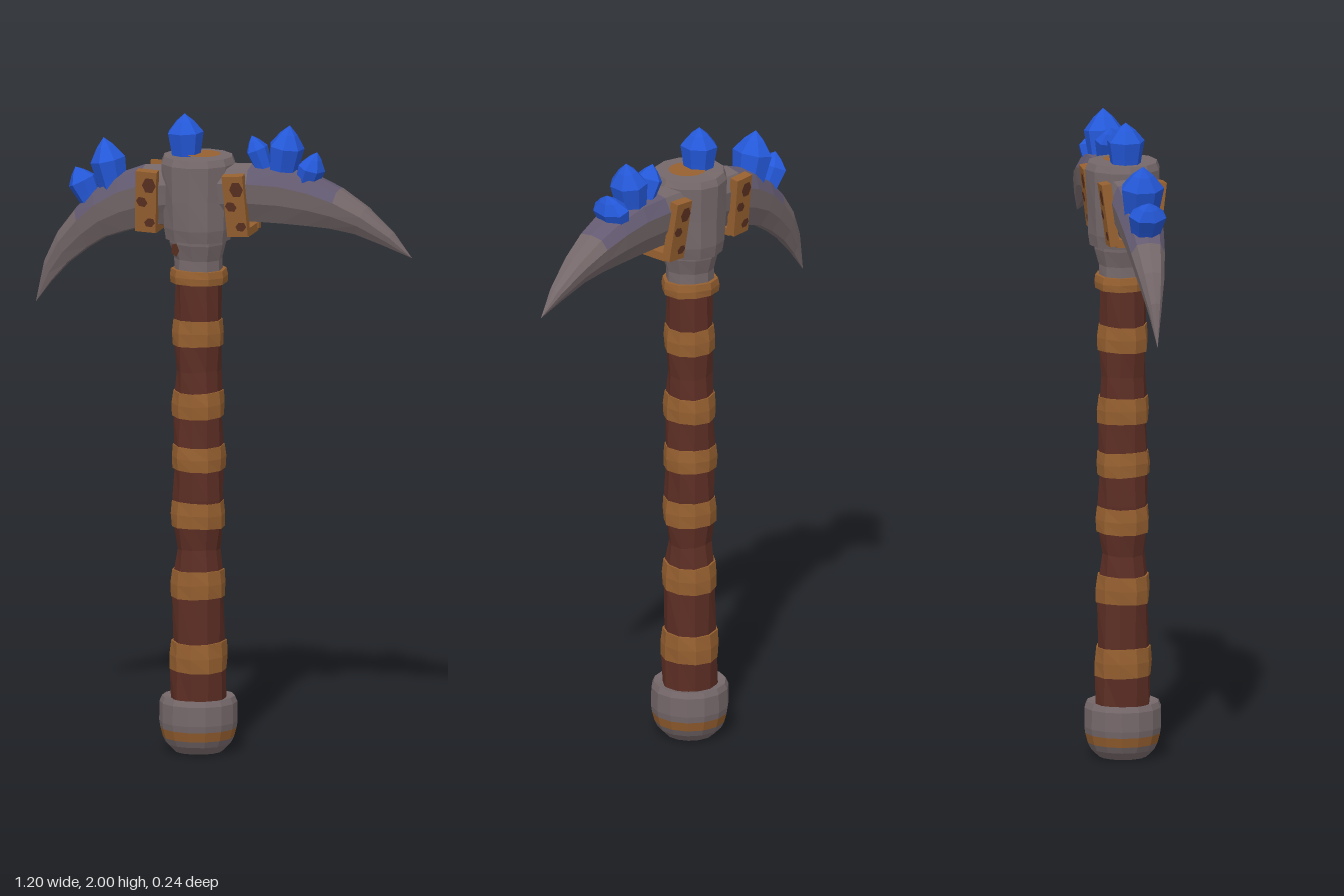
import * as THREE from 'three';

const mat = (name, color, extra = {}) => {
  const m = new THREE.MeshStandardMaterial({ color, flatShading: true, ...extra });
  m.name = name;
  return m;
};

export function createModel() {
  const stone = mat('stone grey', 0x75686a);
  const tint = mat('crystal tinted stone', 0x645b72);
  const wood = mat('dark wood', 0x5c2e24);
  const leather = mat('tan leather', 0x966030);
  const rust = mat('rust brown', 0x5a3020, { side: THREE.DoubleSide });
  const gem = mat('blue crystal', 0x2458d8);
  const AX = -0.082; // shaft axis

  const model = new THREE.Group();
  model.name = 'pickaxe';
  const add = (parent, name, geo, material, x = 0, y = 0, z = 0) => {
    const m = new THREE.Mesh(geo, material);
    m.name = name;
    m.position.set(x, y, z);
    parent.add(m);
    return m;
  };

  // Faceted turned part; profile is [radius, y] from bottom to top, wobble makes it hand-carved
  const turned = (name, profile, sides, material, wobble = 0, x = AX) => {
    const geo = new THREE.LatheGeometry(profile.map(([r, y]) => new THREE.Vector2(r, y)), sides);
    const p = geo.attributes.position;
    for (let i = 0; i < p.count; i++) {
      const a = Math.atan2(p.getX(i), p.getZ(i)), y = p.getY(i);
      const k = 1 + wobble * Math.sin(3 * a + y * 23);
      p.setXYZ(i, p.getX(i) * k, y + wobble * 0.08 * Math.cos(2 * a + y * 9), p.getZ(i) * k);
    }
    geo.computeVertexNormals();
    return add(model, name, geo, material, x);
  };

  // Shaft
  turned('shaft', [
    [0.085, 0.15], [0.087, 0.27], [0.08, 0.35], [0.079, 0.5], [0.076, 0.57], [0.066, 0.64], [0.076, 0.72],
    [0.078, 0.8], [0.075, 0.9], [0.077, 0.96], [0.074, 1.06], [0.074, 1.13], [0.069, 1.2], [0.073, 1.29],
    [0.073, 1.36], [0.071, 1.5],
  ], 10, wood, 0.035);

  // Leather wraps: [bottom, top, radius]
  [[0.26, 0.35, 0.09], [0.49, 0.575, 0.085], [0.71, 0.79, 0.084], [0.89, 0.965, 0.084],
    [1.055, 1.135, 0.082], [1.28, 1.36, 0.08], [1.475, 1.518, 0.09]].forEach(([b, t, r], i) => {
    turned('wrap' + (i + 1), [[r - 0.03, b], [r - 0.002, b], [r, (b + t) / 2], [r - 0.004, t], [r - 0.03, t]],
      10, leather, 0.025);
  });

  // Pommel with a worn rim
  turned('pommelBase', [[0, 0.003], [0.075, 0.005], [0.1, 0.03], [0.11, 0.05]], 14, stone);
  turned('pommelRim', [[0.11, 0.05], [0.118, 0.08]], 14, leather);
  turned('pommel', [[0.118, 0.08], [0.121, 0.1], [0.12, 0.16], [0.112, 0.178], [0.08, 0.17]], 14, stone);

  // Neck and head block
  turned('neck', [[0.075, 1.51], [0.074, 1.55], [0.088, 1.6], [0.088, 1.64]], 10, stone, 0.02);
  turned('headBlock', [[0, 1.615], [0.103, 1.612], [0.11, 1.65], [0.113, 1.74], [0.117, 1.85], [0.108, 1.872],
    [0, 1.873]], 12, stone, 0.012);
  const cap = add(model, 'topInlay', new THREE.CircleGeometry(0.058, 14), leather, AX + 0.012, 1.877, 0);
  cap.rotation.x = -Math.PI / 2;
  const chip = add(model, 'neckChip', new THREE.CircleGeometry(0.022, 5), rust, AX - 0.055, 1.585, 0.073);
  chip.rotation.y = -0.65;

  // Blades: stations are [outerX, outerY, innerX, innerY, halfWidth]
  const section = [[0, 1], [0.7, 0.95], [1, 0.72], [0.88, 0.38], [0.45, 0.04], [0, 0],
    [-0.45, 0.04], [-0.88, 0.38], [-1, 0.72], [-0.7, 0.95]];
  const blade = (name, stations, flip, tintFrom, tintTo) => {
    const rings = stations.map(([ox, oy, ix, iy, w]) => section.map(([z, t]) =>
      [ix + (ox - ix) * t, iy + (oy - iy) * t, z * w]));
    const plain = [], tinted = [];
    for (let k = 0; k < rings.length - 1; k++) {
      for (let j = 0; j < section.length; j++) {
        const n = (j + 1) % section.length;
        const a = rings[k][j], b = rings[k][n], c = rings[k + 1][j], d = rings[k + 1][n];
        const upper = Math.min(section[j][1], section[n][1]) > 0.6;
        const out = upper && k >= tintFrom && k < tintTo ? tinted : plain;
        out.push(...(flip ? [a, c, b, b, c, d] : [a, b, c, b, d, c]).flat());
      }
    }
    const g = new THREE.Group();
    g.name = name;
    model.add(g);
    [[plain, stone, 'Body'], [tinted, tint, 'Stain']].forEach(([pts, m, suffix]) => {
      const geo = new THREE.BufferGeometry();
      geo.setAttribute('position', new THREE.Float32BufferAttribute(pts, 3));
      geo.computeVertexNormals();
      add(g, name + suffix, geo, m);
    });
  };
  blade('leftBlade', [
    [-0.06, 1.85, -0.06, 1.66, 0.078], [0.09, 1.853, 0.09, 1.672, 0.077], [0.19, 1.85, 0.19, 1.67, 0.075],
    [0.285, 1.828, 0.27, 1.667, 0.071], [0.37, 1.79, 0.34, 1.663, 0.061], [0.455, 1.735, 0.42, 1.65, 0.045],
    [0.54, 1.66, 0.51, 1.618, 0.023], [0.6, 1.583, 0.6, 1.583, 0],
  ], false, 1, 4);
  blade('rightBlade', [
    [-0.1, 1.84, -0.1, 1.66, 0.075], [-0.25, 1.835, -0.24, 1.642, 0.072], [-0.33, 1.805, -0.31, 1.622, 0.069],
    [-0.41, 1.75, -0.375, 1.6, 0.062], [-0.47, 1.69, -0.43, 1.565, 0.053], [-0.53, 1.61, -0.495, 1.513, 0.038],
    [-0.572, 1.52, -0.55, 1.452, 0.02], [-0.601, 1.385, -0.601, 1.385, 0],
  ], true, 1, 4);

  // Leather straps clamping the blades, with worn patches
  [['leftStrap', 0.058, 0.06], ['rightStrap', -0.226, -0.05]].forEach(([name, x, lean]) => {
    const strap = new THREE.Group();
    strap.name = name;
    strap.position.set(x, 1.735, 0);
    strap.rotation.z = lean;
    model.add(strap);
    add(strap, name + 'Under', new THREE.BoxGeometry(0.06, 0.025, 0.11), leather, 0, -0.09, 0);
    for (const turn of [0, Math.PI]) {
      const side = new THREE.Group();
      side.name = name + (turn ? 'Back' : 'Front');
      side.rotation.y = turn;
      strap.add(side);
      const plate = add(side, name + 'Plate', new THREE.BoxGeometry(0.066, 0.195, 0.03), leather, 0, 0, 0.075);
      plate.rotation.x = 0.13;
      [[0.01, 0.055, 0.022], [-0.012, 0.0, 0.016], [0.014, -0.065, 0.015]].forEach(([px, py, r], i) => {
        const patch = add(plate, 'wornPatch', new THREE.CircleGeometry(r, 6), rust, px, py, 0.0165);
        patch.rotation.z = i;
        patch.scale.y = 1.2;
      });
    }
  });

  // Crystals: [baseX, baseY, tipX, tipY, radius, depth stretch]
  [[-0.122, 1.862, -0.126, 2.0, 0.057, 1.05], [-0.35, 1.75, -0.385, 1.912, 0.055, 1.25],
    [-0.425, 1.715, -0.475, 1.815, 0.043, 1.4], [0.128, 1.84, 0.088, 1.942, 0.034, 1.4],
    [0.185, 1.82, 0.21, 1.98, 0.055, 1.15], [0.258, 1.785, 0.297, 1.9, 0.042, 1.6],
  ].forEach(([bx, by, tx, ty, r, depth], i) => {
    const h = Math.hypot(tx - bx, ty - by);
    const profile = [[0, 0], [r * 0.78, 0], [r * 0.85, h * 0.2], [r, h * 0.58], [r * 0.5, h * 0.83], [0, h]];
    const geo = new THREE.LatheGeometry(profile.map(([a, b]) => new THREE.Vector2(a, b)), 7, i * 0.7);
    const c = add(model, 'crystal' + (i + 1), geo, gem, bx, by, 0);
    c.rotation.z = Math.atan2(bx - tx, ty - by);
    c.scale.z = depth;
  });

  return model;
}
